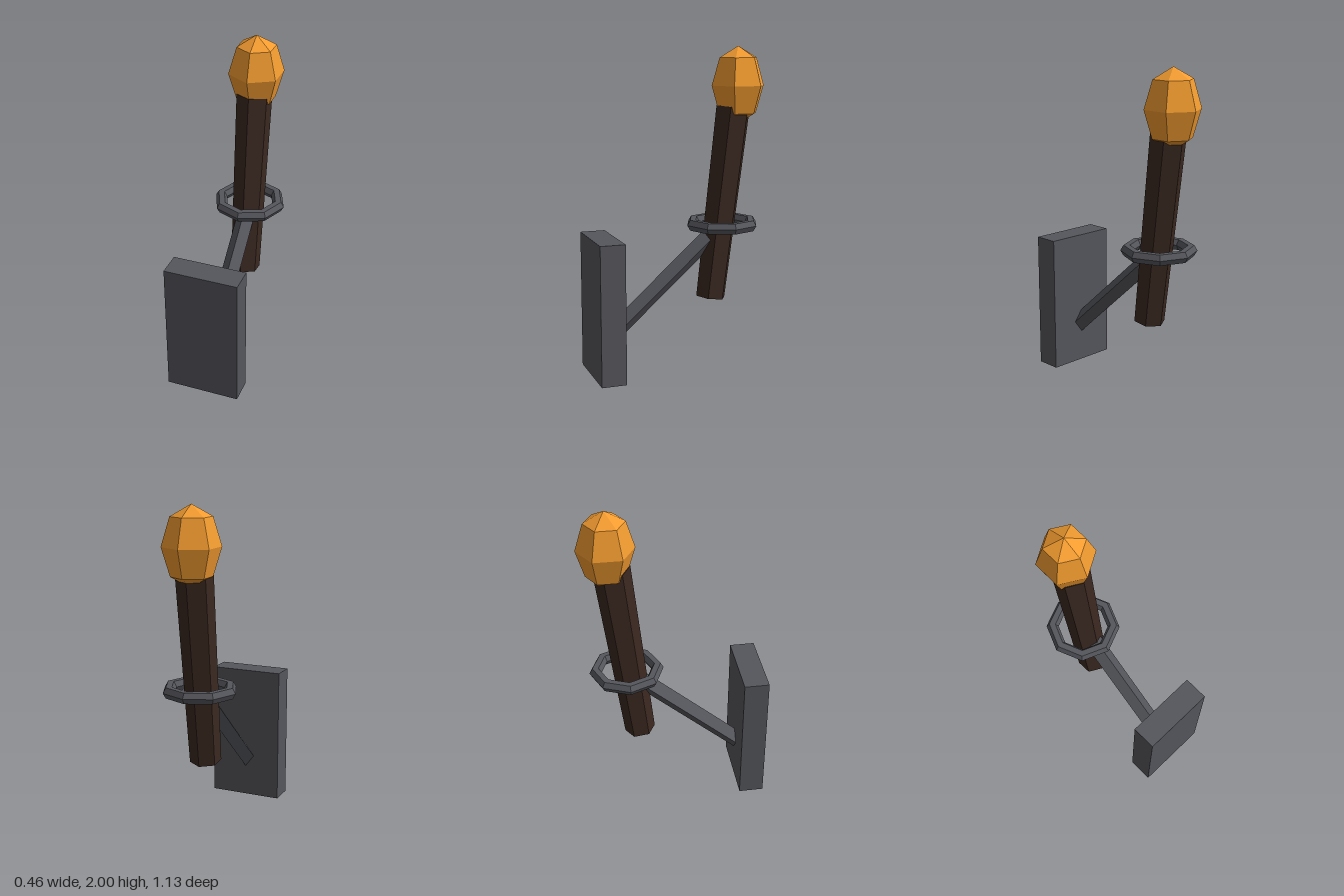
import * as THREE from 'three';

const paint = (color) => new THREE.MeshStandardMaterial({ color, flatShading: true });

export function createModel() {
  const model = new THREE.Group();
  const iron = paint(0x55565c);
  const wood = paint(0x3a2820);
  const fire = paint(0xf29b30);

  function add(name, geometry, material, x, y, z) {
    const mesh = new THREE.Mesh(geometry, material);
    mesh.name = name;
    mesh.position.set(x, y, z);
    model.add(mesh);
    return mesh;
  }

  // Straight faceted bar between two points in the x = 0 plane, given as [y, z]
  function bar(name, from, to, r0, r1, sides, material) {
    const a = new THREE.Vector3(0, ...from);
    const b = new THREE.Vector3(0, ...to);
    const axis = b.clone().sub(a);
    const mid = a.clone().add(b).multiplyScalar(0.5);
    const geometry = new THREE.CylinderGeometry(r1, r0, axis.length(), sides);
    const mesh = add(name, geometry, material, mid.x, mid.y, mid.z);
    mesh.quaternion.setFromUnitVectors(new THREE.Vector3(0, 1, 0), axis.normalize());
  }

  // Wall plate and the slanted square arm set on its edge
  add('wallPlate', new THREE.BoxGeometry(0.46, 0.86, 0.155), iron, 0, 0.43, 0.4875);
  bar('bracketArm', [0.203, 0.49], [0.816, -0.2], 0.057, 0.057, 4, iron);

  // Holding ring, level, with a hexagonal section
  const ring = new THREE.TorusGeometry(0.193, 0.038, 6, 8).rotateX(Math.PI / 2);
  add('holderRing', ring, iron, 0, 0.9, -0.29);

  // Tilted shaft, slightly wider at the top
  bar('torchShaft', [0.435, -0.215], [1.627, -0.36], 0.096, 0.112, 6, wood);

  // Upright faceted flame, corners facing front and back
  const flame = new THREE.SphereGeometry(0.174, 6, 4).rotateY(Math.PI / 2).scale(1, 0.24 / 0.174, 1);
  add('flame', flame, fire, 0, 1.76, -0.39);

  return model;
}
